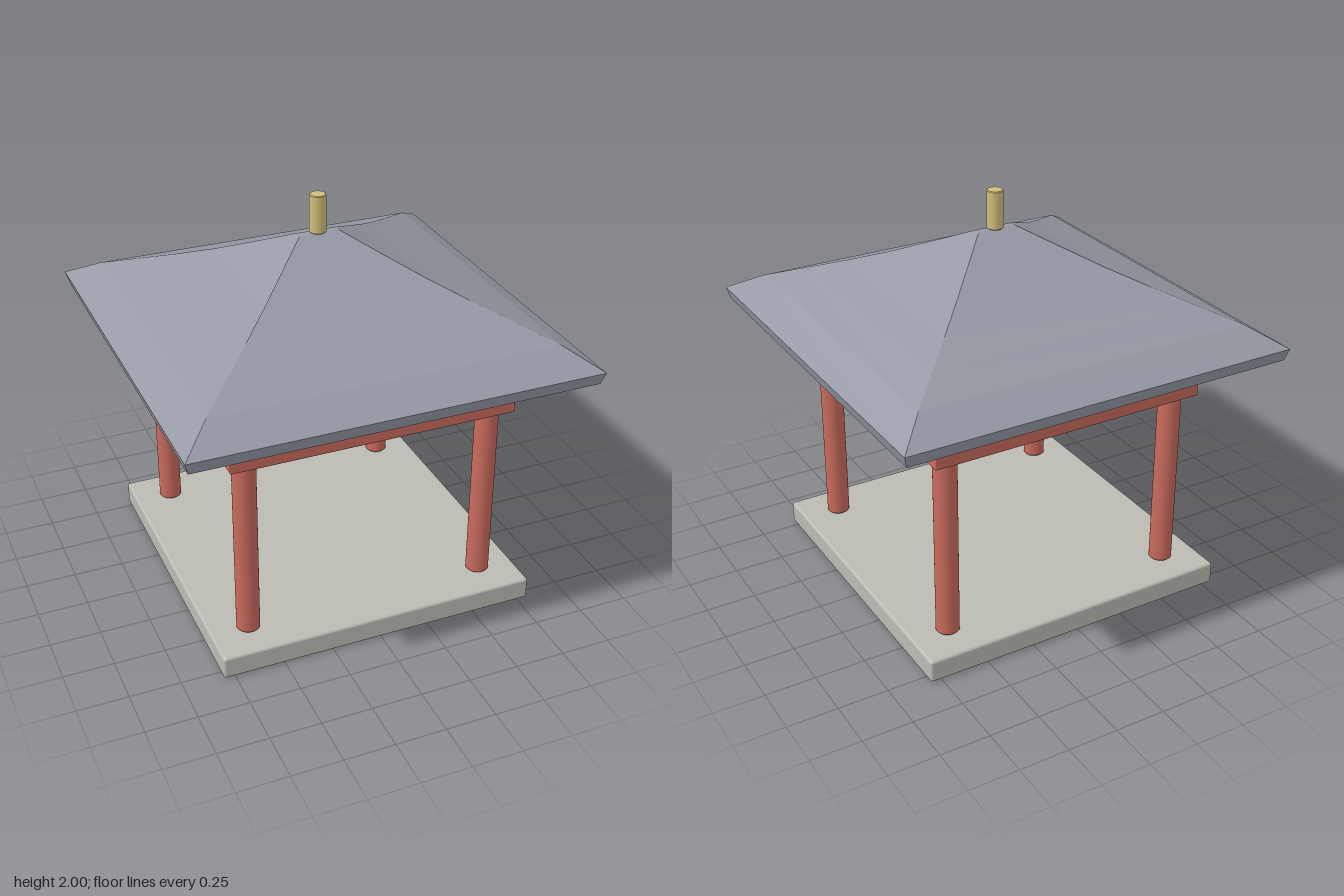
import * as THREE from 'three';
import { RoundedBoxGeometry } from 'three/addons/geometries/RoundedBoxGeometry.js';

const material = (color, flatShading = false) => new THREE.MeshStandardMaterial({ color, flatShading });

function addPart(parent, name, geometry, mat, x, y, z) {
  const mesh = new THREE.Mesh(geometry, mat);
  mesh.name = name;
  mesh.position.set(x, y, z);
  parent.add(mesh);
}

// Upright cylinder standing on y = 0 with a narrow chamfer at both ends
function chamferedCylinder(radius, height, chamfer) {
  const profile = [
    [0, 0], [radius - chamfer, 0], [radius - chamfer, 0], [radius, chamfer], [radius, chamfer],
    [radius, height - chamfer], [radius, height - chamfer],
    [radius - chamfer, height], [radius - chamfer, height], [0, height],
  ].map(([r, y]) => new THREE.Vector2(r, y));
  return new THREE.LatheGeometry(profile, 32);
}

// Hollow hipped roof: rectangular rings run down the outside, then up the inside
function roofGeometry() {
  const heights = [1.81, 1.728, 1.648, 1.577, 1.511, 1.445, 1.35];
  const outer = heights.map((y, i) => {
    const u = i / (heights.length - 1);
    return { hx: 0.1 + 0.9 * u, hz: 0.02 + 0.98 * u, y };
  });
  const inner = outer.map(({ hx, hz, y }) => ({ hx: hx * 0.983, hz: hz * 0.983, y: y - 0.06 })).reverse();
  const corners = [[1, 1], [1, -1], [-1, -1], [-1, 1]];
  const rings = [...outer, ...inner].map(({ hx, hz, y }) => corners.map(([sx, sz]) => [sx * hx, y, sz * hz]));

  const positions = [];
  const quad = (a, b, c, d) => positions.push(...a, ...b, ...c, ...a, ...c, ...d);
  quad(...rings[0]);
  for (let i = 0; i < rings.length - 1; i++) {
    for (let k = 0; k < 4; k++) {
      const n = (k + 1) % 4;
      quad(rings[i][k], rings[i + 1][k], rings[i + 1][n], rings[i][n]);
    }
  }
  quad(...rings[rings.length - 1].slice().reverse());

  const geometry = new THREE.BufferGeometry();
  geometry.setAttribute('position', new THREE.Float32BufferAttribute(positions, 3));
  geometry.computeVertexNormals();
  return geometry;
}

export function createModel() {
  const model = new THREE.Group();
  model.name = 'pavilion';
  const stone = material(0xbcbbb3);
  const red = material(0xc96a5c);
  const slate = material(0x9699a4, true);
  const gold = material(0xd2c07c);

  // Stone platform
  addPart(model, 'platform', new RoundedBoxGeometry(1.61, 0.115, 1.61, 3, 0.014), stone, 0, 0.0575, 0);

  // Four corner columns
  const columns = new THREE.Group();
  columns.name = 'columns';
  const columnGeometry = chamferedCylinder(0.057, 0.945, 0.008);
  for (const x of [-0.615, 0.615]) {
    for (const z of [-0.615, 0.615]) addPart(columns, 'column', columnGeometry, red, x, 0.115, z);
  }
  model.add(columns);

  // Ceiling slab carried by the columns
  addPart(model, 'ceilingBeam', new RoundedBoxGeometry(1.42, 0.092, 1.42, 2, 0.005), red, 0, 1.1, 0);

  // Roof and its finial
  addPart(model, 'roof', roofGeometry(), slate, 0, 0, 0);
  addPart(model, 'finial', chamferedCylinder(0.04, 0.19, 0.004), gold, 0, 1.81, 0);
  return model;
}
